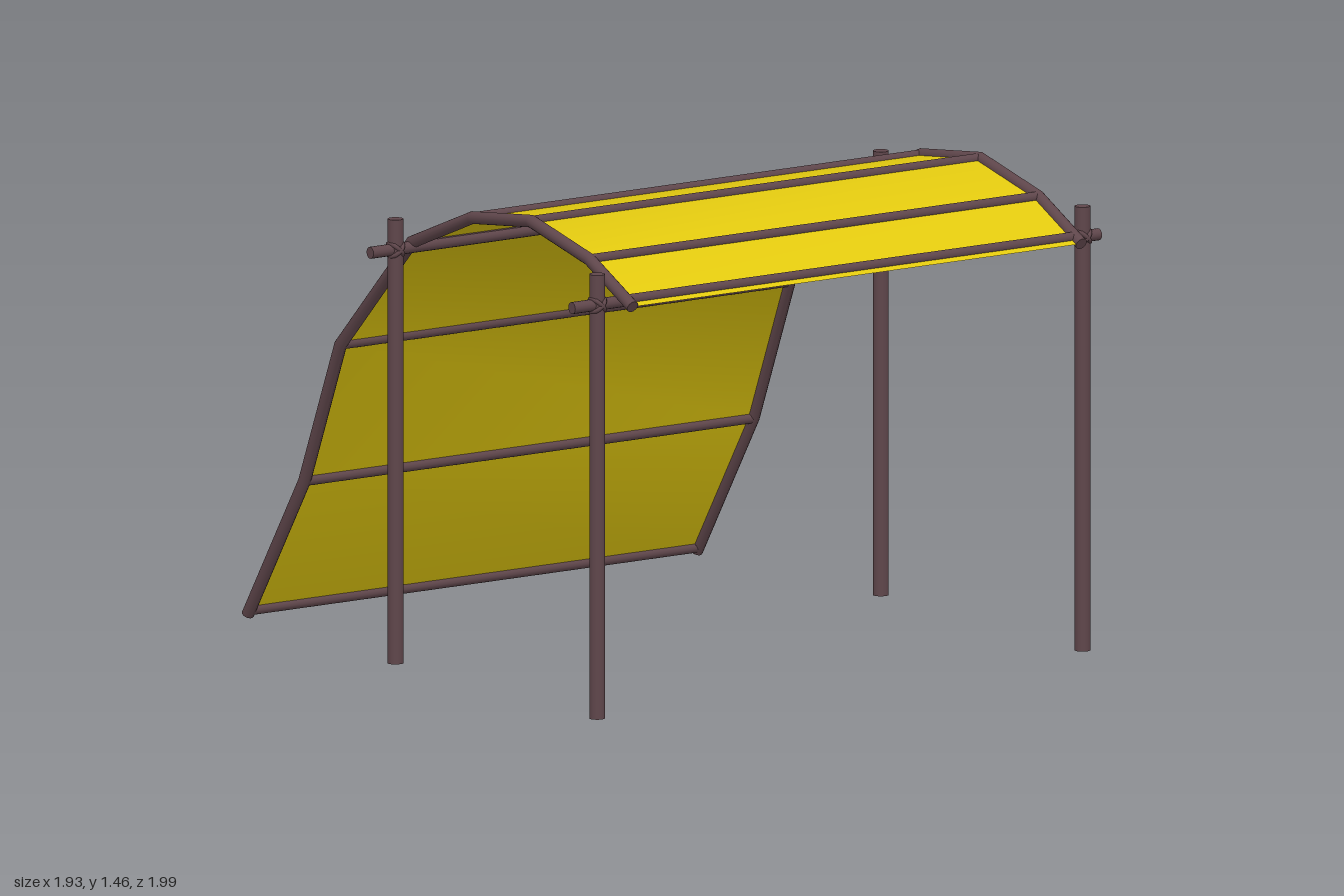
import * as THREE from 'three';

const CX = 0.0125; // middle of the canopy
// canopy profile as [z, y], front to back
const PROFILE = [
  [0.99, 1.272], [0.77, 1.38], [0.47, 1.448], [0.17, 1.41],
  [-0.14, 1.285], [-0.505, 0.915], [-0.69, 0.47], [-0.98, 0.018],
].map(([z, y]) => new THREE.Vector2(z, y));

const wood = new THREE.MeshStandardMaterial({ color: 0x5f464b });
const cloth = new THREE.MeshStandardMaterial({ color: 0xe2c90f, side: THREE.DoubleSide });

function add(parent, name, geometry, material, x = 0, y = 0, z = 0) {
  const mesh = new THREE.Mesh(geometry, material);
  mesh.name = name;
  mesh.position.set(x, y, z);
  parent.add(mesh);
  return mesh;
}

// mitred pole bent along the profile
function railGeometry(r) {
  const n = PROFILE.length - 1;
  const geo = new THREE.CylinderGeometry(r, r, n, 14, n);
  const pos = geo.attributes.position;
  for (let i = 0; i < pos.count; i++) {
    const k = Math.round(n / 2 - pos.getY(i));
    const inDir = PROFILE[Math.max(k, 1)].clone().sub(PROFILE[Math.max(k, 1) - 1]).normalize();
    const j = Math.min(k, n - 1);
    const outDir = PROFILE[j + 1].clone().sub(PROFILE[j]).normalize();
    const t = inDir.clone().add(outDir).normalize();
    const s = pos.getZ(i) / t.dot(inDir);
    pos.setXYZ(i, pos.getX(i), PROFILE[k].y + t.x * s, PROFILE[k].x - t.y * s);
  }
  // keep the winding outward after the sweep
  const a = new THREE.Vector3().fromBufferAttribute(pos, geo.index.getX(0));
  const b = new THREE.Vector3().fromBufferAttribute(pos, geo.index.getX(1));
  const c = new THREE.Vector3().fromBufferAttribute(pos, geo.index.getX(2));
  const normal = b.clone().sub(a).cross(c.clone().sub(a));
  const mid = (PROFILE[0].clone().add(PROFILE[1])).multiplyScalar(0.5);
  const out = a.clone().add(b).add(c).divideScalar(3).sub(new THREE.Vector3(0, mid.y, mid.x));
  const along = new THREE.Vector3(0, PROFILE[1].y - PROFILE[0].y, PROFILE[1].x - PROFILE[0].x).normalize();
  out.addScaledVector(along, -out.dot(along));
  if (normal.dot(out) < 0) {
    const idx = geo.index;
    for (let i = 0; i < idx.count; i += 3) {
      const t = idx.getX(i);
      idx.setX(i, idx.getX(i + 1));
      idx.setX(i + 1, t);
    }
  }
  geo.computeVertexNormals();
  return geo;
}

// sheet following the profile
function sheetGeometry(width) {
  const n = PROFILE.length - 1;
  const geo = new THREE.PlaneGeometry(width, n, 1, n);
  const pos = geo.attributes.position;
  for (let i = 0; i < pos.count; i++) {
    const p = PROFILE[Math.round(pos.getY(i) + n / 2)];
    pos.setXYZ(i, pos.getX(i), p.y, p.x);
  }
  geo.computeVertexNormals();
  return geo;
}

export function createModel() {
  const model = new THREE.Group();
  model.name = 'shelter';

  // canopy: sheet, two bent side rails, and cross bars
  const canopy = new THREE.Group();
  canopy.name = 'canopy';
  canopy.position.x = CX;
  model.add(canopy);
  add(canopy, 'clothSheet', sheetGeometry(1.64), cloth);
  const rail = railGeometry(0.019);
  add(canopy, 'leftRail', rail, wood, 0.822);
  add(canopy, 'rightRail', rail, wood, -0.822);

  const bar = new THREE.CylinderGeometry(0.016, 0.016, 1.64, 12).rotateZ(Math.PI / 2);
  PROFILE.forEach((p, i) => {
    const q = p.clone();
    // end bars sit slightly in from the rail tips
    if (i === 0) q.lerp(PROFILE[1], 0.15);
    if (i === PROFILE.length - 1) q.lerp(PROFILE[i - 1], 0.03);
    add(canopy, 'crossBar', bar, wood, 0, q.y, q.x);
  });

  // support frames: posts, a horizontal beam, and lashings
  const post = new THREE.CylinderGeometry(0.024, 0.024, 1.35, 16);
  const beam = new THREE.CylinderGeometry(0.018, 0.018, 1.93, 14).rotateZ(Math.PI / 2);
  const lashing = new THREE.TorusGeometry(0.027, 0.007, 8, 20);
  for (const [name, z] of [['frontFrame', 0.9], ['rearFrame', -0.133]]) {
    const frame = new THREE.Group();
    frame.name = name;
    frame.position.z = z;
    model.add(frame);
    add(frame, 'beam', beam, wood, -0.003, 1.272, 0);
    for (const x of [-0.875, 0.903]) {
      add(frame, 'post', post, wood, x, 0.69, 0);
      for (const side of [-1, 1]) {
        const ring = add(frame, 'lashing', lashing, wood, x, 1.272, 0);
        ring.rotation.set(0, Math.PI / 2, side * Math.PI / 4, 'ZYX');
      }
    }
  }
  return model;
}
